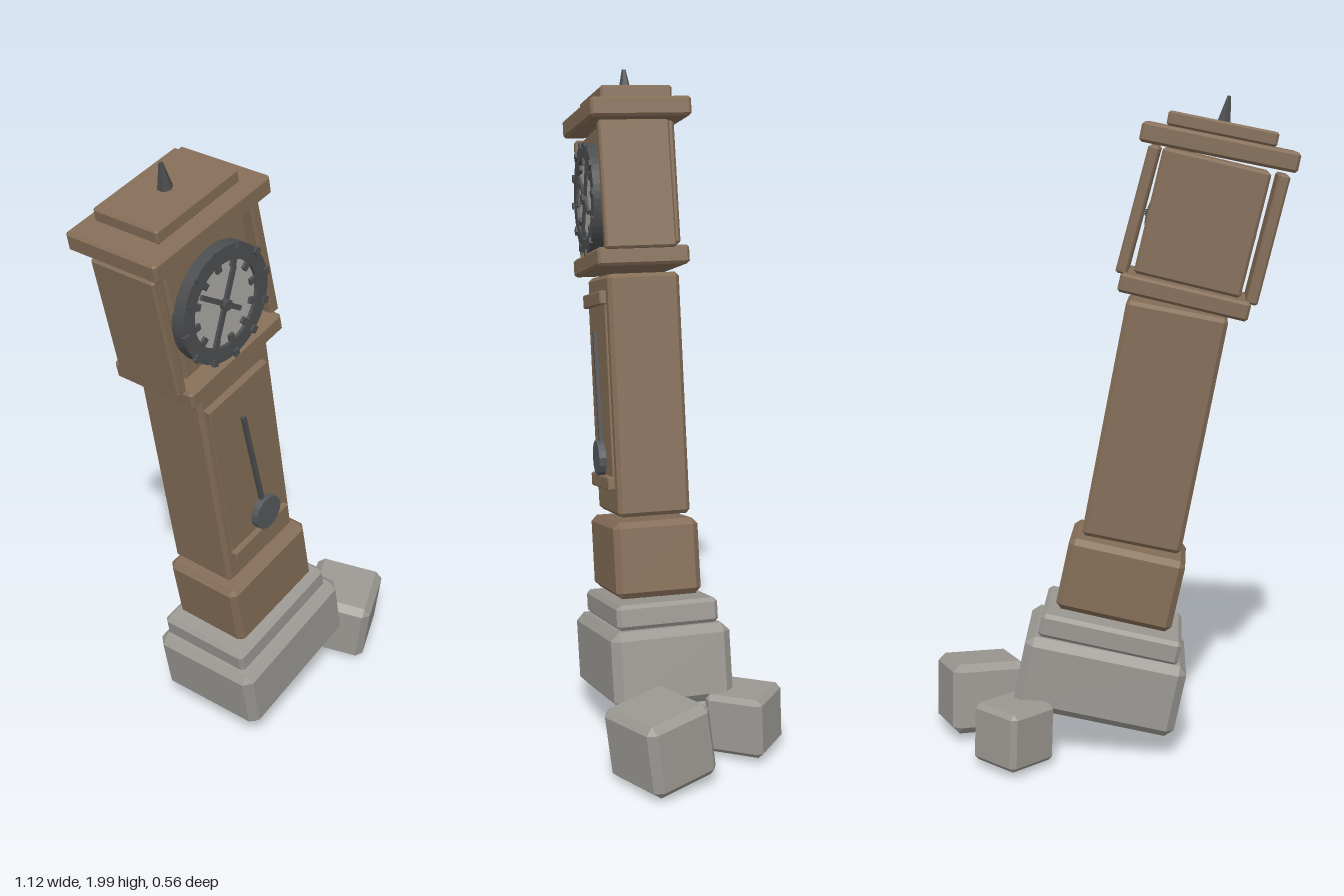
import * as THREE from 'three';
import { ConvexGeometry } from 'three/addons/geometries/ConvexGeometry.js';

const flat = (name, color) => {
  const m = new THREE.MeshStandardMaterial({ color, flatShading: true });
  m.name = name;
  return m;
};

// Box with all edges chamfered by c
function chamferBox(w, h, d, c) {
  const pts = [];
  for (const x of [-w / 2, w / 2]) for (const y of [-h / 2, h / 2]) for (const z of [-d / 2, d / 2]) {
    const sx = Math.sign(x) * c, sy = Math.sign(y) * c, sz = Math.sign(z) * c;
    pts.push(
      new THREE.Vector3(x, y - sy, z - sz),
      new THREE.Vector3(x - sx, y, z - sz),
      new THREE.Vector3(x - sx, y - sy, z));
  }
  return new ConvexGeometry(pts);
}

export function createModel() {
  const root = new THREE.Group();
  root.name = 'leaningClock';
  const wood = flat('wood', 0x846d57);
  const stone = flat('stone', 0x9b9893);
  const iron = flat('iron', 0x4c4d4f);
  const bobMetal = flat('bobMetal', 0x54585c);
  const enamel = flat('enamel', 0xaaa8a4);
  const deg = THREE.MathUtils.degToRad;

  const add = (parent, name, geo, mat, pos, rot = [0, 0, 0]) => {
    const mesh = new THREE.Mesh(geo, mat);
    mesh.name = name;
    mesh.position.set(...pos);
    mesh.rotation.set(...rot.map(deg));
    parent.add(mesh);
    return mesh;
  };
  const block = (name, mat, size, c, pos, rot) =>
    add(root, name, chamferBox(...size, c), mat, pos, rot);

  // Stone footing and loose rocks
  block('footing', stone, [0.5, 0.23, 0.365], 0.025, [0.025, 0.24, 0.065], [0, 3, 11.7]);
  block('footingStep', stone, [0.435, 0.075, 0.31], 0.012, [-0.008, 0.387, 0.063], [0, 2, 12]);
  block('frontRock', stone, [0.24, 0.22, 0.225], 0.022, [0.415, 0.132, 0.13], [7, 25, 0]);
  block('backRock', stone, [0.18, 0.18, 0.18], 0.015, [0.272, 0.115, -0.16], [3, -38, 2]);

  // Plinth and trunk
  block('plinth', wood, [0.36, 0.228, 0.26], 0.018, [-0.04, 0.547, 0.073], [0, 1, 12]);
  block('trunk', wood, [0.305, 0.727, 0.22], 0.012, [-0.139, 1.03, 0.07], [0, 1, 10.7]);

  // Trunk door with its rails
  block('door', wood, [0.24, 0.59, 0.01], 0.002, [-0.147, 1.04, 0.181], [0, 1, 10.9]);
  block('upperRail', wood, [0.255, 0.042, 0.024], 0.004, [-0.204, 1.315, 0.19], [0, 1, 12]);
  block('lowerRail', wood, [0.25, 0.042, 0.024], 0.004, [-0.094, 0.77, 0.19], [0, 1, 11]);

  // Pendulum
  add(root, 'pendulumRod', new THREE.BoxGeometry(0.013, 0.37, 0.012), iron, [-0.134, 1.042, 0.196], [0, 0, 14.7]);
  add(root, 'pendulumBob', new THREE.CylinderGeometry(0.054, 0.054, 0.022, 14), bobMetal, [-0.084, 0.847, 0.203], [90, 0, 0]);

  // Hood: moulding, core, side panels, cornice and cap
  block('hoodMoulding', wood, [0.39, 0.056, 0.28], 0.008, [-0.225, 1.427, 0.075], [0, 1, 13]);
  block('hoodCore', wood, [0.32, 0.37, 0.22], 0.008, [-0.275, 1.64, 0.062], [0, 1, 13.2]);
  block('leftPanel', wood, [0.035, 0.38, 0.215], 0.006, [-0.087, 1.675, 0.083], [0, 1, 14.8]);
  block('rightPanel', wood, [0.035, 0.385, 0.215], 0.006, [-0.466, 1.59, 0.085], [0, 1, 13.5]);
  block('cornice', wood, [0.46, 0.058, 0.305], 0.008, [-0.323, 1.857, 0.068], [0, 1, 11.3]);
  block('cap', wood, [0.322, 0.042, 0.218], 0.006, [-0.331, 1.908, 0.066], [0, 1, 11.3]);
  add(root, 'finial', new THREE.CylinderGeometry(0.006, 0.025, 0.09, 6), iron, [-0.341, 1.957, 0.065], [0, 0, 11]);

  // Clock dial
  const dial = new THREE.Group();
  dial.name = 'dial';
  dial.position.set(-0.267, 1.617, 0.17);
  dial.rotation.z = deg(13);
  root.add(dial);
  add(dial, 'dialFace', new THREE.CylinderGeometry(0.135, 0.135, 0.03, 24), enamel, [0, 0, 0.015], [90, 0, 0]);
  const ring = new THREE.Shape().absarc(0, 0, 0.168, 0, Math.PI * 2, false);
  ring.holes.push(new THREE.Path().absarc(0, 0, 0.124, 0, Math.PI * 2, true));
  add(dial, 'dialRing', new THREE.ExtrudeGeometry(ring, { depth: 0.04, bevelEnabled: false, curveSegments: 24 }),
    iron, [0, 0, 0]);

  // Hour marks around the ring
  for (let i = 0; i < 12; i++) {
    const a = i * Math.PI / 6;
    const mark = (name, r, w, l, z) => {
      const m = add(dial, name, new THREE.BoxGeometry(w, l, 0.01), iron, [Math.sin(a) * r, Math.cos(a) * r, z]);
      m.rotation.z = -a;
    };
    mark('rimStud', 0.163, 0.02, 0.02, 0.041);
    mark('hourMark', 0.116, 0.018, 0.026, 0.034);
  }

  // Hands with counterweight tails: [name, angle, length, tail, width]
  for (const [name, angle, len, tail, w] of [
    ['minuteHand', 148, 0.115, 0.105, 0.016],
    ['hourHand', 46, 0.11, 0.07, 0.014]]) {
    const hand = new THREE.Group();
    hand.name = name;
    hand.rotation.z = deg(angle);
    dial.add(hand);
    add(hand, name + 'Bar', new THREE.BoxGeometry(w, len + tail, 0.008), iron, [0, (len - tail) / 2, 0.036]);
  }
  add(dial, 'handHub', new THREE.CylinderGeometry(0.016, 0.016, 0.018, 10), iron, [0, 0, 0.039], [90, 0, 0]);

  return root;
}
